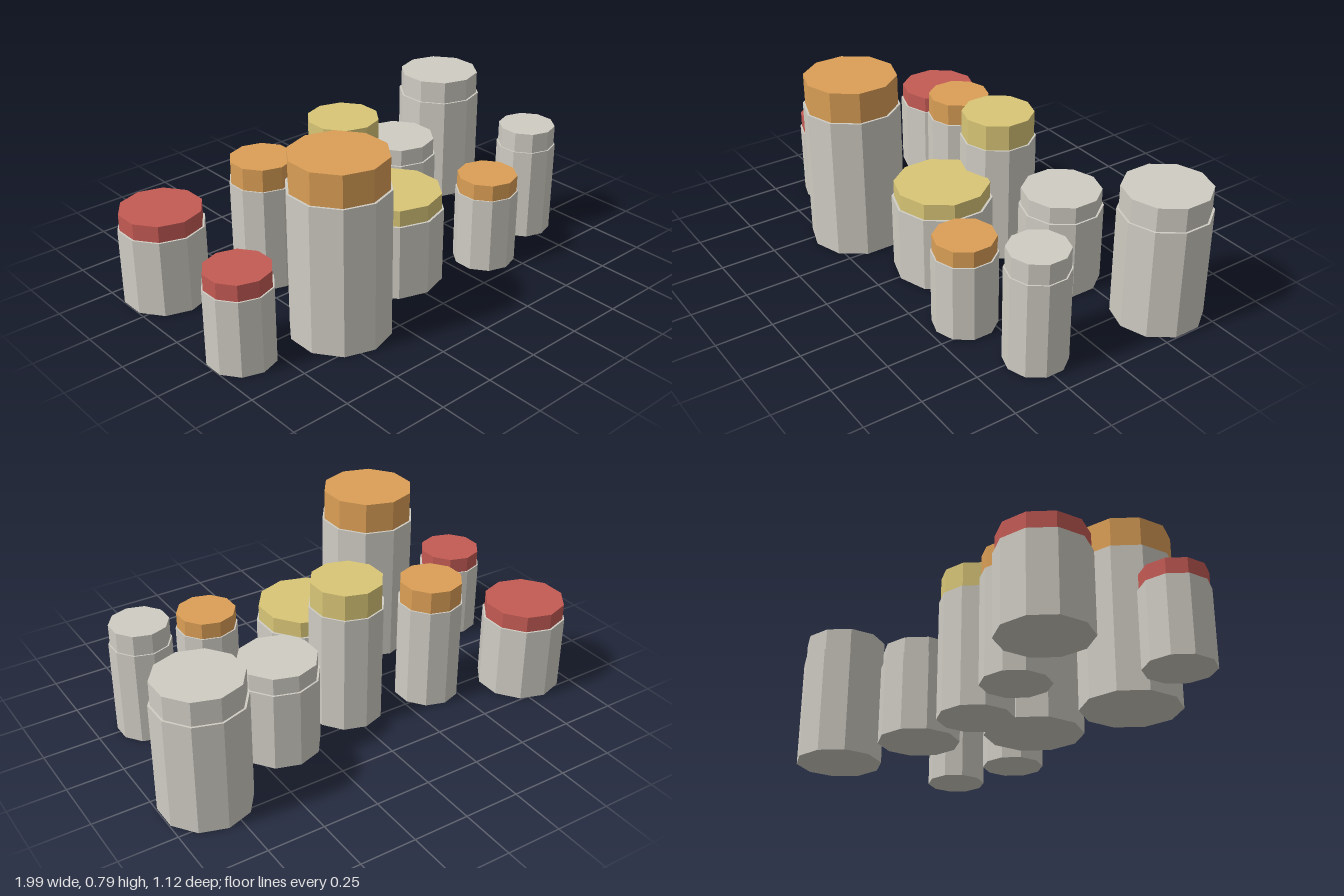
import * as THREE from 'three';

const flat = (name, color) => {
  const m = new THREE.MeshStandardMaterial({ color, flatShading: true });
  m.name = name;
  return m;
};

export function createModel() {
  const group = new THREE.Group();
  group.name = 'jars';

  const stone = flat('pale grey', 0xcfccc3);
  const red = flat('brick red', 0xc45a54);
  const orange = flat('orange', 0xdb9f56);
  const yellow = flat('straw yellow', 0xd9c677);

  const SIDES = 10;
  const BODY_SHARE = 0.826; // body height as a share of the whole jar
  const LID_SCALE = 0.952; // lid radius relative to the body

  // x, z, body radius, full height, lid colour
  const jars = [
    [-0.82, -0.343, 0.186, 0.414, red],
    [-0.86, 0.247, 0.145, 0.405, red],
    [-0.44, 0.348, 0.214, 0.787, orange],
    [-0.406, -0.191, 0.145, 0.567, orange],
    [0.42, 0.334, 0.138, 0.414, orange],
    [-0.009, -0.13, 0.165, 0.656, yellow],
    [0.012, 0.176, 0.217, 0.414, yellow],
    [0.369, -0.191, 0.18, 0.432, stone],
    [0.81, -0.364, 0.195, 0.597, stone],
    [0.776, 0.24, 0.133, 0.515, stone],
  ];

  // Ten-sided drum standing between two heights
  const drum = (name, radius, y0, y1, material) => {
    const mesh = new THREE.Mesh(
      new THREE.CylinderGeometry(radius, radius, y1 - y0, SIDES), material);
    mesh.position.y = (y0 + y1) / 2;
    mesh.name = name;
    return mesh;
  };

  jars.forEach(([x, z, r, h, lidMaterial], i) => {
    const jar = new THREE.Group();
    jar.name = `jar${i + 1}`;
    jar.position.set(x, 0, z);
    const bodyTop = h * BODY_SHARE;
    jar.add(drum('body', r, 0, bodyTop, stone));
    jar.add(drum('lid', r * LID_SCALE, bodyTop, h, lidMaterial));
    group.add(jar);
  });

  return group;
}
